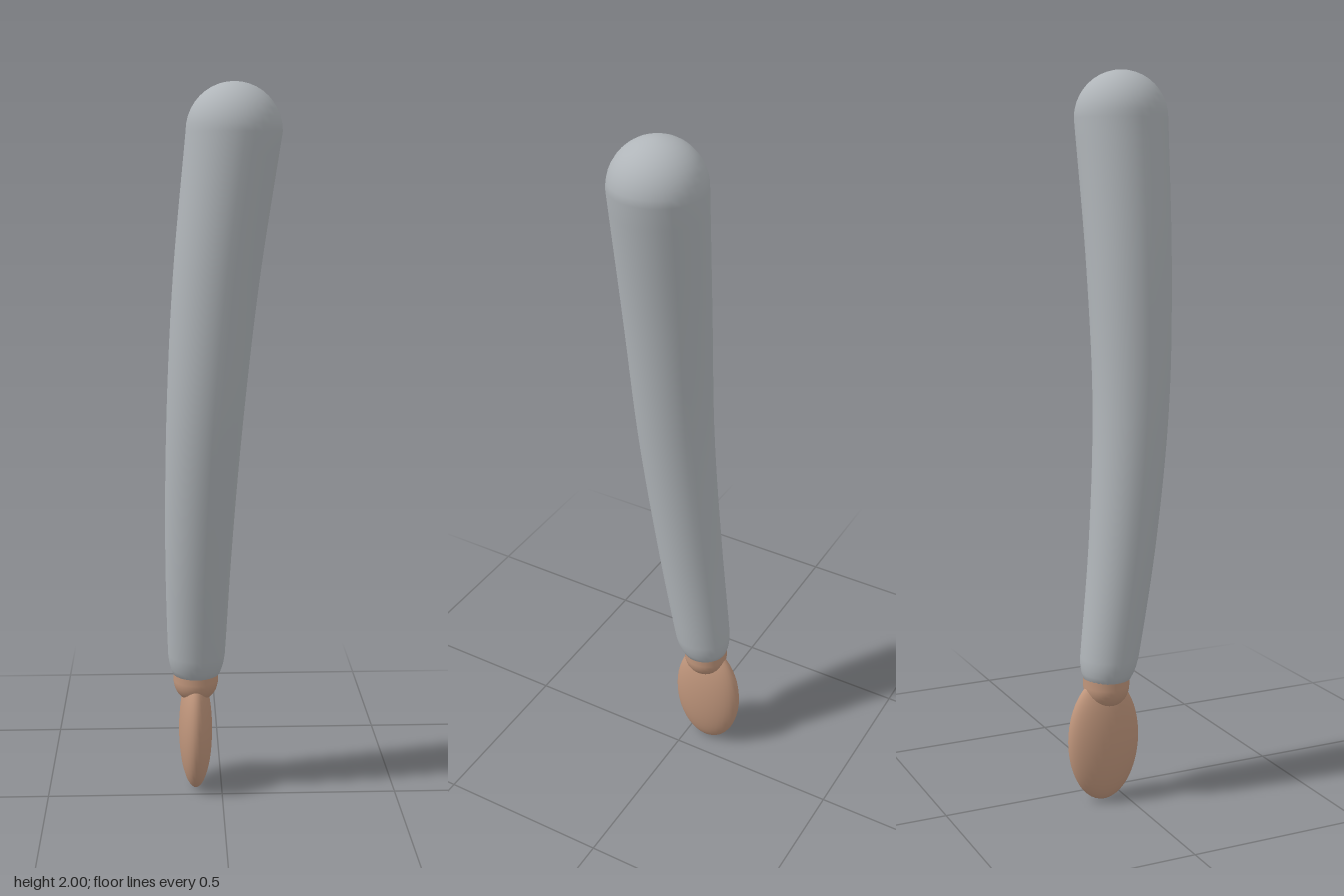
import * as THREE from 'three';
import { mergeVertices } from 'three/addons/utils/BufferGeometryUtils.js';

const TOP = 1.873, HEM = 0.35;

// Centre line of the arm, knots evenly spaced in height
const spine = new THREE.CatmullRomCurve3(
  [[-0.073, -0.051], [-0.066, 0.0], [-0.048, 0.034], [-0.017, 0.042], [0.03, 0.041]]
    .map(([x, z], i) => new THREE.Vector3(x, HEM + (i * (TOP - HEM)) / 4, z)),
  false, 'catmullrom', 0.5);

// Sleeve: a turned profile bent along the centre line
function sleeveGeometry() {
  const profile = [[0, 0.352], [0.058, 0.351], [0.066, 0.355], [0.073, 0.372], [0.078, 0.392], [0.081, 0.415]]
    .map(([r, y]) => new THREE.Vector2(r, y));
  const y0 = 0.415, r0 = 0.081, r1 = 0.127;
  for (let i = 1; i <= 24; i++) {
    const t = i / 24;
    profile.push(new THREE.Vector2(r0 + (r1 - r0) * t ** 0.9, y0 + (TOP - y0) * t));
  }
  // Rounded shoulder
  for (let i = 1; i <= 10; i++) {
    const a = (i / 10) * Math.PI / 2;
    profile.push(new THREE.Vector2(i === 10 ? 0 : r1 * Math.cos(a), TOP + r1 * Math.sin(a)));
  }
  let geo = new THREE.LatheGeometry(profile, 32);
  const p = geo.attributes.position;
  for (let i = 0; i < p.count; i++) {
    const t = THREE.MathUtils.clamp((p.getY(i) - HEM) / (TOP - HEM), 0, 1);
    const c = spine.getPoint(t);
    p.setX(i, p.getX(i) + c.x);
    p.setZ(i, p.getZ(i) + c.z);
  }
  geo.deleteAttribute('normal');
  geo.deleteAttribute('uv');
  geo = mergeVertices(geo, 1e-5);
  geo.computeVertexNormals();
  return geo;
}

export function createModel() {
  const cloth = new THREE.MeshStandardMaterial({ color: 0xb0b5b9 });
  cloth.name = 'grey cloth';
  const skin = new THREE.MeshStandardMaterial({ color: 0xc0967c });
  skin.name = 'skin';

  const group = new THREE.Group();
  group.name = 'arm';
  const add = (name, geo, mat, x = 0, y = 0, z = 0) => {
    const mesh = new THREE.Mesh(geo, mat);
    mesh.name = name;
    mesh.position.set(x, y, z);
    group.add(mesh);
    return mesh;
  };

  add('sleeve', sleeveGeometry(), cloth);

  // Wrist: round-ended stub inside the cuff
  add('wrist', new THREE.CapsuleGeometry(0.064, 0.1, 10, 28), skin, -0.074, 0.384, -0.053);

  // Hand: flattened ellipsoid
  const hand = add('hand', new THREE.SphereGeometry(1, 32, 24), skin, -0.075, 0.18, -0.062);
  hand.scale.set(0.048, 0.177, 0.105);

  return group;
}
